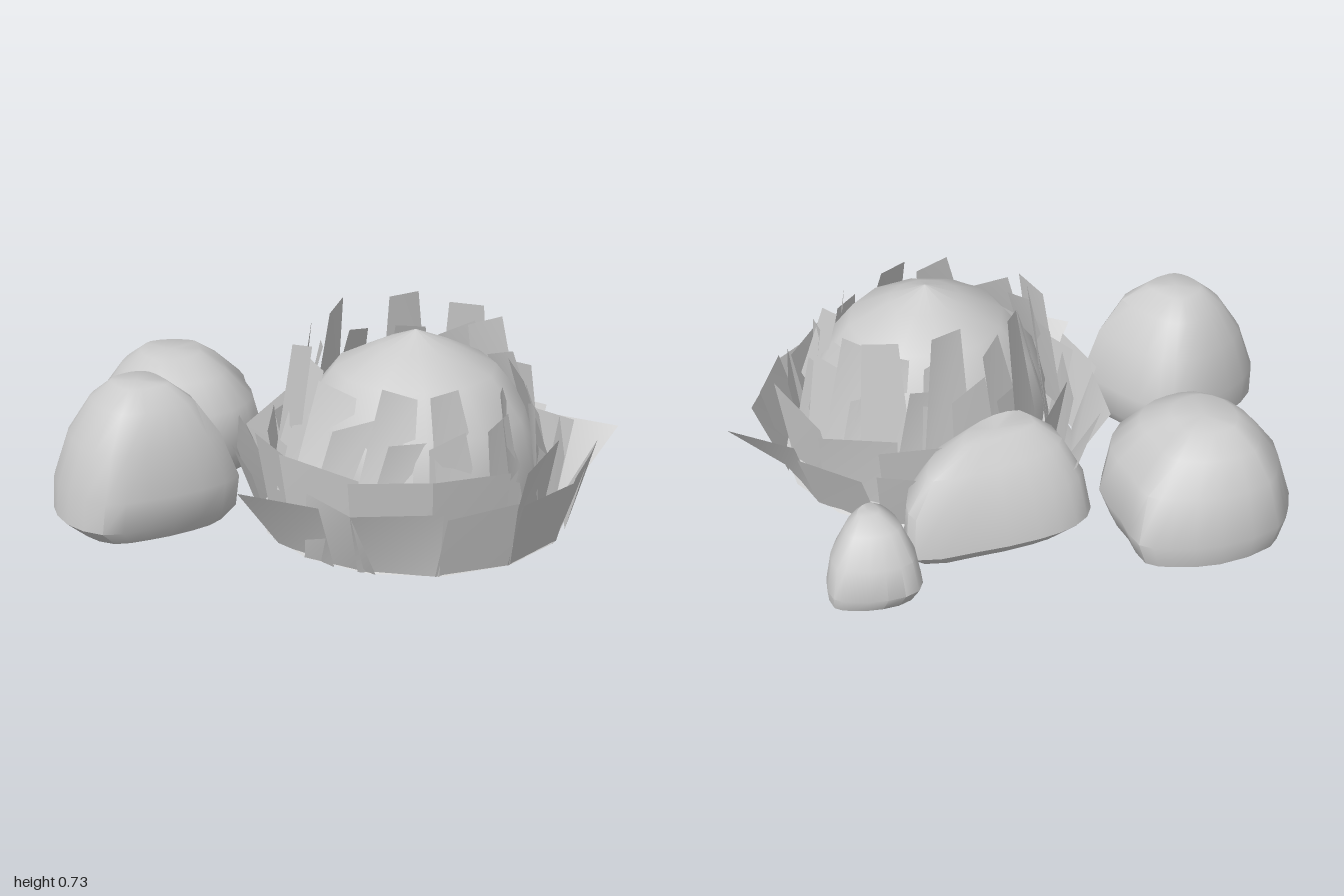
import * as THREE from 'three';
import { toCreasedNormals } from 'three/addons/utils/BufferGeometryUtils.js';

const stone = new THREE.MeshStandardMaterial({ color: 0xcccccc });
const leaf = new THREE.MeshStandardMaterial({ color: 0xcccccc, side: THREE.DoubleSide });
const CX = 0.13, CZ = 0.34; // centre of the plant

let seed = 7;
const jitter = (amount) => {
  seed = (seed * 16807) % 2147483647;
  return (seed / 2147483647 * 2 - 1) * amount;
};

// Rock lofted from a rounded plan outline [x, z]; rows are [y, xMin, xMax, zMin, zMax]
function rock(name, outline, rows) {
  const curve = new THREE.CatmullRomCurve3(outline.map(([x, z]) => new THREE.Vector3(x, 0, z)), true, 'centripetal');
  const n = outline.length * 2, plan = curve.getPoints(n).slice(0, n);
  const box = new THREE.Box3().setFromPoints(plan);
  const pos = [], index = [];
  for (const [y, x0, x1, z0, z1] of rows) {
    for (const p of plan) {
      pos.push(
        THREE.MathUtils.mapLinear(p.x, box.min.x, box.max.x, x0, x1), y,
        THREE.MathUtils.mapLinear(p.z, box.min.z, box.max.z, z0, z1));
    }
  }
  for (let r = 0; r < rows.length - 1; r++) {
    for (let i = 0; i < n; i++) {
      const a = r * n + i, b = r * n + (i + 1) % n;
      index.push(a, a + n, b, b, a + n, b + n);
    }
  }
  // bottom and top facets
  [0, rows.length - 1].forEach((row, k) => {
    const [y, x0, x1, z0, z1] = rows[row], c = pos.length / 3;
    pos.push((x0 + x1) / 2, y, (z0 + z1) / 2);
    for (let i = 0; i < n; i++) {
      const a = row * n + i, b = row * n + (i + 1) % n;
      if (k) index.push(c, b, a); else index.push(c, a, b);
    }
  });
  const geo = new THREE.BufferGeometry();
  geo.setAttribute('position', new THREE.Float32BufferAttribute(pos, 3));
  geo.setIndex(index);
  const mesh = new THREE.Mesh(toCreasedNormals(geo, 0.75), stone);
  mesh.name = name;
  return mesh;
}

// One flat leaf from four [angle, radius, y] corners: top left, top right, base left, base right
function petal(corners) {
  const geo = new THREE.PlaneGeometry(1, 1);
  corners.forEach(([a, r, y], i) =>
    geo.attributes.position.setXYZ(i, CX + Math.sin(a) * r, y, CZ + Math.cos(a) * r));
  geo.computeVertexNormals();
  const mesh = new THREE.Mesh(geo, leaf);
  mesh.name = 'petal';
  return mesh;
}

// A leaf at angle a, with half widths h0 (base) and h1 (tip) in radians
function uprightPetal(a, { r0, r1, y0, y1, h0, h1 }) {
  const lean = jitter(0.1), slant = jitter(0.025), yaw = 0.025 + jitter(0.01);
  return petal([
    [a - h1 + lean, r1 + yaw, y1 + slant], [a + h1 + lean, r1 - yaw, y1 - slant],
    [a - h0, r0 + yaw, y0], [a + h0, r0 - yaw, y0],
  ]);
}

function ring(name, count, offset, rough, shape) {
  const group = new THREE.Group();
  group.name = name;
  for (let i = 0; i < count; i++) {
    const a = offset + i / count * Math.PI * 2;
    group.add(uprightPetal(a, { ...shape, y1: shape.y1 + jitter(rough) }));
  }
  return group;
}

// Upper edges of the splayed outer leaves: x, z of one corner, then of the other
const OUTER_TIPS = [
  [-0.13, 0.88, 0.1, 0.95], [0.13, 0.94, 0.4, 0.88], [0.4, 0.88, 0.6, 0.73], [0.56, 0.76, 0.69, 0.66],
  [0.84, 0.6, 0.73, 0.36], [0.77, 0.29, 0.69, 0.04], [0.64, 0.02, 0.45, -0.18], [0.42, -0.2, 0.15, -0.28],
  [0.1, -0.4, -0.22, -0.2], [-0.22, -0.25, -0.38, 0], [-0.4, 0, -0.48, 0.26],
  [-0.58, 0.33, -0.44, 0.6], [-0.42, 0.5, -0.4, 0.72], [-0.4, 0.72, -0.14, 0.87],
];

function outerPetals() {
  const group = new THREE.Group();
  group.name = 'outerPetals';
  for (const [xa, za, xb, zb] of OUTER_TIPS) {
    const mid = Math.atan2((xa + xb) / 2 - CX, (za + zb) / 2 - CZ);
    const tip = (x, z) => [Math.atan2(x - CX, z - CZ), Math.hypot(x - CX, z - CZ), 0.3 + jitter(0.015)];
    group.add(petal([tip(xa, za), tip(xb, zb), [mid - 0.25, 0.54, 0.06], [mid + 0.25, 0.54, 0.06]]));
  }
  return group;
}

export function createModel() {
  const model = new THREE.Group();

  // Rocks
  model.add(rock('leftRock',
    [[-1, -0.08], [-0.97, -0.25], [-0.9, -0.33], [-0.73, -0.37], [-0.53, -0.35], [-0.44, -0.27], [-0.41, -0.1],
      [-0.43, 0.1], [-0.6, 0.14], [-0.8, 0.12], [-0.94, 0.07]],
    [[0.07, -0.93, -0.46, -0.28, 0.08], [0.13, -1, -0.42, -0.36, 0.13], [0.24, -0.99, -0.41, -0.37, 0.14],
      [0.4, -0.94, -0.47, -0.32, 0.11], [0.52, -0.86, -0.55, -0.26, 0.06], [0.58, -0.79, -0.62, -0.19, -0.01]]));
  model.add(rock('backRock',
    [[-0.62, -0.55], [-0.56, -0.78], [-0.43, -0.91], [-0.32, -0.96], [-0.1, -0.9], [0.04, -0.79], [0.1, -0.7],
      [0.04, -0.55], [-0.03, -0.38], [-0.2, -0.28], [-0.38, -0.29], [-0.54, -0.36]],
    [[0.01, -0.42, 0, -0.74, -0.42], [0.05, -0.58, 0.07, -0.94, -0.33], [0.14, -0.62, 0.1, -0.96, -0.28],
      [0.3, -0.57, 0.04, -0.91, -0.3], [0.4, -0.48, -0.07, -0.84, -0.39], [0.46, -0.4, -0.16, -0.75, -0.51]]));
  model.add(rock('pointedRock',
    [[0, -0.1], [0.02, -0.41], [0.13, -0.45], [0.28, -0.42], [0.5, -0.32], [0.68, -0.21], [0.64, -0.1],
      [0.48, 0.03], [0.2, 0.04]],
    [[0.01, 0.1, 0.5, -0.3, -0.05], [0.05, 0.03, 0.62, -0.39, 0.02], [0.11, 0, 0.68, -0.45, 0.04],
      [0.26, 0.01, 0.66, -0.41, 0.02], [0.36, 0.04, 0.56, -0.32, -0.03], [0.42, 0.11, 0.4, -0.23, -0.09]]));
  model.add(rock('smallRock',
    [[0.66, -0.12], [0.69, -0.27], [0.76, -0.34], [0.87, -0.31], [0.96, -0.24], [1, -0.18], [0.95, -0.08],
      [0.8, 0], [0.68, -0.03]],
    [[0.01, 0.72, 0.88, -0.22, -0.06], [0.05, 0.69, 0.99, -0.31, -0.01], [0.1, 0.67, 1, -0.34, 0],
      [0.2, 0.68, 0.97, -0.31, -0.01], [0.29, 0.71, 0.9, -0.24, -0.05], [0.33, 0.76, 0.84, -0.16, -0.09]]));

  // Pointed dome in the middle of the plant
  const profile = [[0.42, 0.09], [0.44, 0.28], [0.39, 0.46], [0.28, 0.6], [0.13, 0.675], [0, 0.73]];
  const dome = new THREE.Mesh(new THREE.LatheGeometry(profile.map(([r, y]) => new THREE.Vector2(r, y)), 12), stone);
  dome.name = 'dome';
  dome.position.set(CX, 0, CZ);
  model.add(dome);

  // Flat base that carries the leaves
  const base = new THREE.Mesh(new THREE.CylinderGeometry(0.5, 0.54, 0.03, 14), leaf);
  base.name = 'base';
  base.position.set(CX, 0.075, CZ);
  model.add(base);

  // Leaf rings, from the outside in
  model.add(outerPetals());
  model.add(ring('middlePetals', 12, 0.3, 0.015, { r0: 0.48, r1: 0.53, y0: 0.07, y1: 0.37, h0: 0.28, h1: 0.28 }));
  model.add(ring('innerPetals', 14, 0.15, 0.05, { r0: 0.46, r1: 0.41, y0: 0.2, y1: 0.5, h0: 0.22, h1: 0.17 }));
  model.add(ring('domePetals', 11, 0.3, 0.03, { r0: 0.44, r1: 0.35, y0: 0.32, y1: 0.61, h0: 0.2, h1: 0.16 }));

  // Tall blades around the back
  const blades = new THREE.Group();
  blades.name = 'tallBlades';
  for (const [a, y1, r1] of [[1.75, 0.67, 0.38], [2.1, 0.71, 0.4], [2.6, 0.74, 0.37], [3.35, 0.73, 0.38], [3.75, 0.71, 0.38], [4.2, 0.68, 0.39]]) {
    blades.add(uprightPetal(a, { r0: 0.45, r1, y0: 0.28, y1, h0: 0.2, h1: 0.15 }));
  }
  model.add(blades);

  return model;
}
